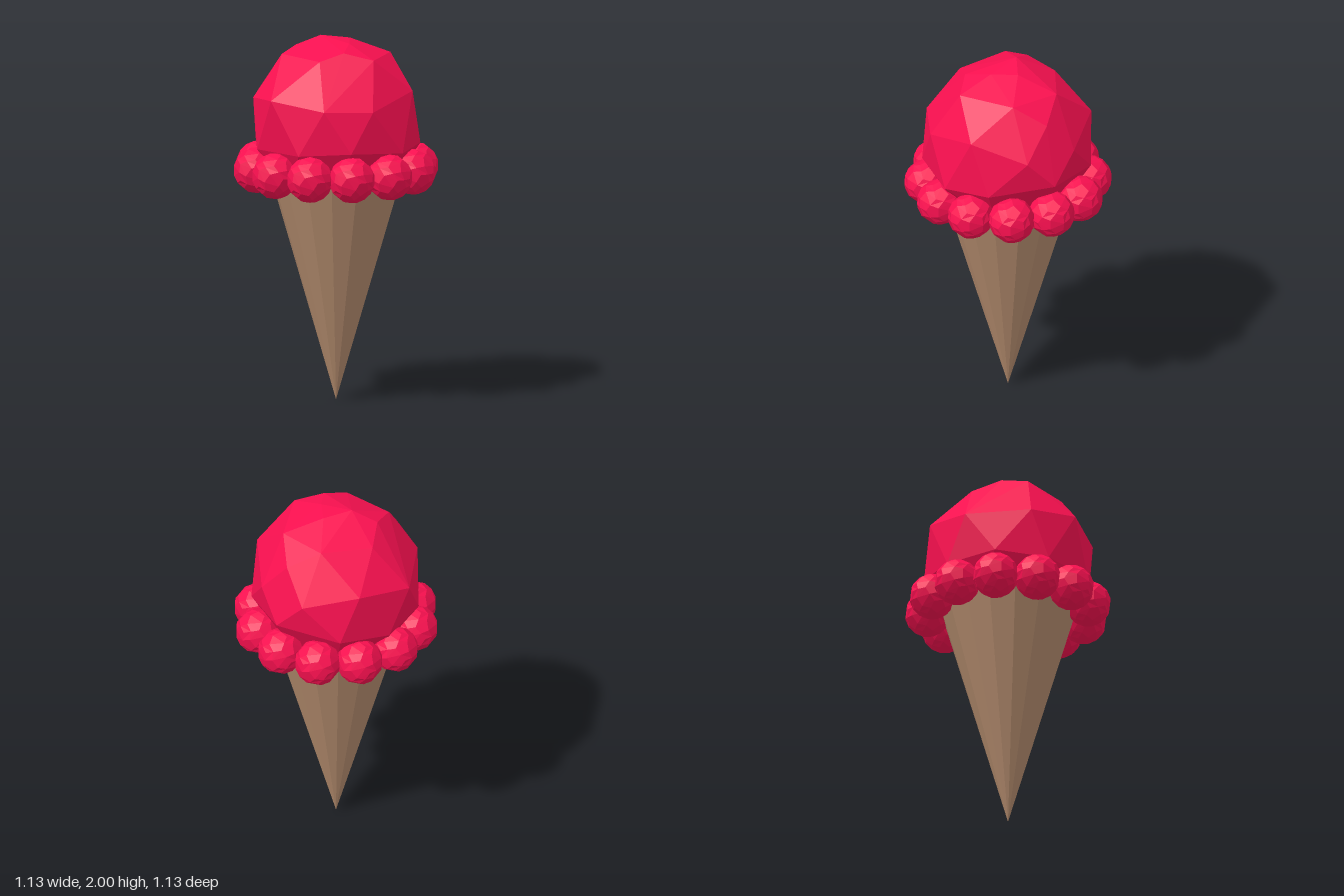
import * as THREE from 'three';
import { ConvexGeometry } from 'three/addons/geometries/ConvexGeometry.js';

const pink = new THREE.MeshStandardMaterial({ color: 0xfa1050, flatShading: true });
const wafer = new THREE.MeshStandardMaterial({ color: 0xb38b6d, flatShading: true });

function addPart(parent, name, geometry, material) {
  const mesh = new THREE.Mesh(geometry, material);
  mesh.name = name;
  parent.add(mesh);
  return mesh;
}

// Chunky, slightly irregular ball: corners of its crown, shoulders and waist
function scoopGeometry() {
  const crown = [
    [-0.08, 2.0, 0.04], [0.11, 1.97, 0], [0, 1.98, -0.1], [0, 1.96, 0.12],
    [0.2, 1.94, 0.12], [-0.2, 1.94, 0.115], [0.31, 1.9, 0], [-0.29, 1.88, -0.02],
    [0.15, 1.9, 0.25], [-0.15, 1.91, 0.26], [0.14, 1.9, -0.27], [-0.14, 1.9, -0.27],
  ];
  const shoulders = [
    [0, 1.69, 0.47], [0.3, 1.65, 0.35], [-0.26, 1.67, 0.37], [-0.47, 1.65, 0.08],
    [0.43, 1.64, 0.11], [0.38, 1.72, -0.22], [-0.39, 1.7, -0.23], [0, 1.8, -0.39],
    [0.15, 1.62, -0.43], [-0.15, 1.62, -0.43],
  ];
  const waist = [
    [0.458, 1.4, -0.08], [-0.452, 1.4, -0.06], [0, 1.46, -0.473], [0.4, 1.42, 0.24],
    [-0.4, 1.42, 0.23], [0.17, 1.4, 0.42], [-0.17, 1.4, 0.42], [0.33, 1.42, -0.32],
    [-0.33, 1.42, -0.32],
  ];
  const points = [...crown, ...shoulders, ...waist].map((p) => new THREE.Vector3(...p));
  // Underside, tucked into the cone
  for (let i = 0; i < 8; i++) {
    const a = (i / 8) * Math.PI * 2;
    points.push(new THREE.Vector3(0.32 * Math.sin(a), 1.2, 0.32 * Math.cos(a)));
  }
  return new ConvexGeometry(points);
}

export function createModel() {
  const model = new THREE.Group();
  model.name = 'iceCreamCone';

  // Wafer cone standing on its tip
  const height = 1.28;
  const cone = addPart(model, 'cone', new THREE.ConeGeometry(0.372, height, 16), wafer);
  cone.rotation.x = Math.PI;
  cone.position.y = height / 2;

  addPart(model, 'scoop', scoopGeometry(), pink);

  // Ring of small drips around the rim
  const drips = new THREE.Group();
  drips.name = 'dripRing';
  model.add(drips);
  const dripGeometry = new THREE.DodecahedronGeometry(0.126, 1);
  for (let i = 0; i < 12; i++) {
    const a = (i / 12) * Math.PI * 2;
    addPart(drips, 'drip', dripGeometry, pink)
      .position.set(0.44 * Math.sin(a), 1.275, 0.44 * Math.cos(a));
  }
  return model;
}
